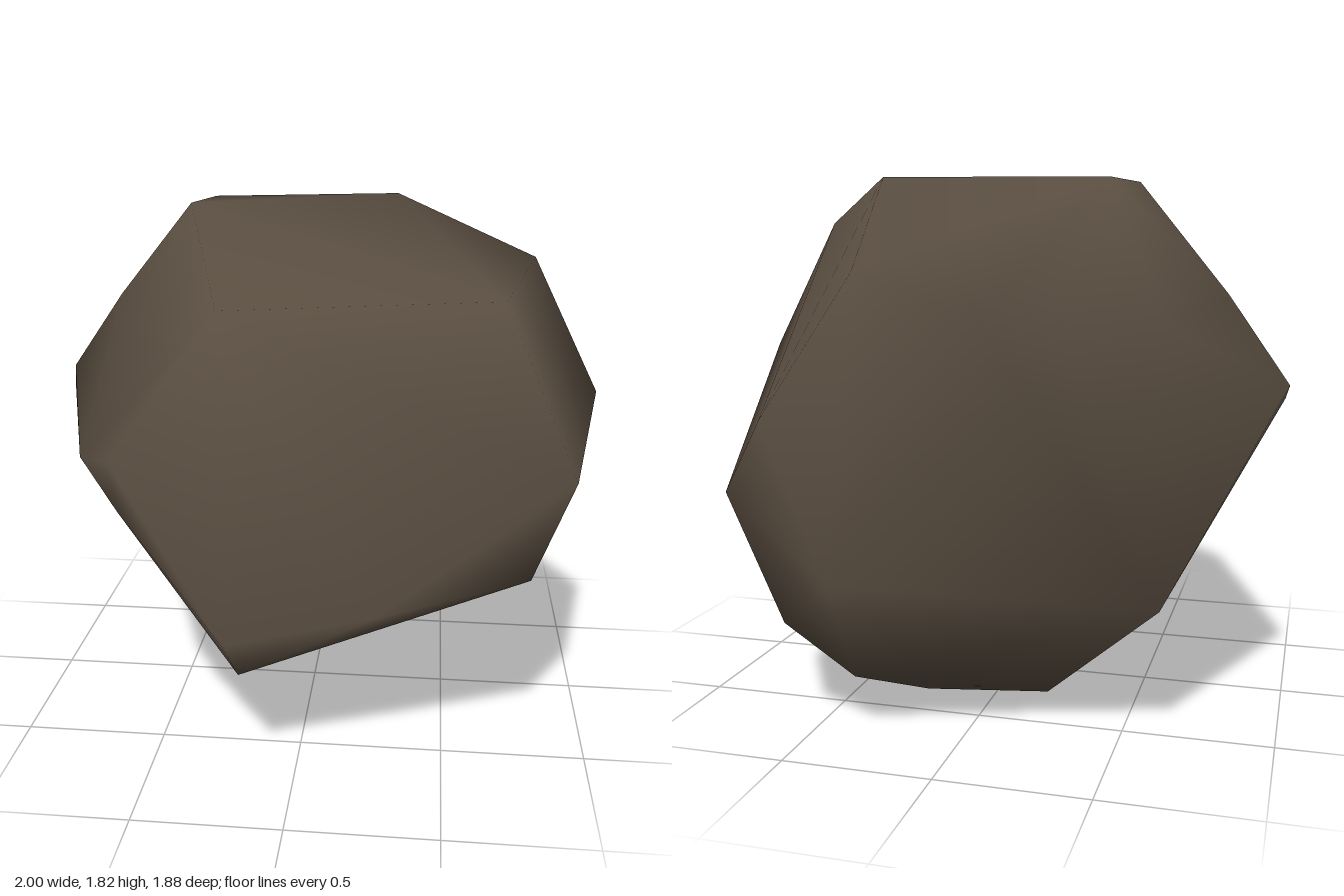
import * as THREE from 'three';
import { ConvexGeometry } from 'three/addons/geometries/ConvexGeometry.js';
import { mergeVertices } from 'three/addons/utils/BufferGeometryUtils.js';

// Corners of the boulder, grouped by region
const crown = [
  [-0.5, 1.81, -0.3], [-0.43, 1.82, -0.45], [0.27, 1.82, -0.62],
  [0.76, 1.69, 0.1], [0.64, 1.64, 0.63], [-0.2, 1.64, 0.85],
];
const frontFace = [
  [-0.52, 1.2, 0.935], [-0.5, 1.04, 0.925], [-0.64, 1.17, 0.81],
  [-0.2, 0.59, 0.9], [-0.17, 0.43, 0.79], [0.27, 0.66, 0.8], [0.76, 0.75, 0.66],
];
const flanks = [
  [0.89, 1.07, 0.62], [1, 1.22, 0.08], [0.77, 0.81, -0.8],
  [-1, 1.16, -0.32], [-0.985, 1.11, -0.26], [-0.8, 1.45, -0.35], [-0.64, 1.36, -0.63],
];
const backFace = [
  [-0.35, 1.42, -0.85], [-0.14, 1.4, -0.94], [0.26, 1.53, -0.92],
  [0.61, 1.06, -0.865], [0.4, 0.53, -0.85],
];
const underside = [
  [-0.18, 0, -0.23], [0.19, 0.07, -0.48], [0.35, 0.2, -0.75],
  [0.59, 0.37, -0.77], [0.54, 0.29, -0.27], [-0.64, 0.48, -0.67],
];

export function createModel() {
  const group = new THREE.Group();
  group.name = 'boulder';

  const stone = new THREE.MeshStandardMaterial({ color: 0x5a4e41 });
  stone.name = 'brown stone';

  // Wrap the corners in a hull, then share vertices for smooth shading
  const points = [...crown, ...frontFace, ...flanks, ...backFace, ...underside]
    .map((p) => new THREE.Vector3(...p));
  let geometry = new ConvexGeometry(points);
  geometry.deleteAttribute('normal');
  geometry = mergeVertices(geometry, 1e-4);
  geometry.computeVertexNormals();

  const rock = new THREE.Mesh(geometry, stone);
  rock.name = 'rock';
  group.add(rock);
  return group;
}
